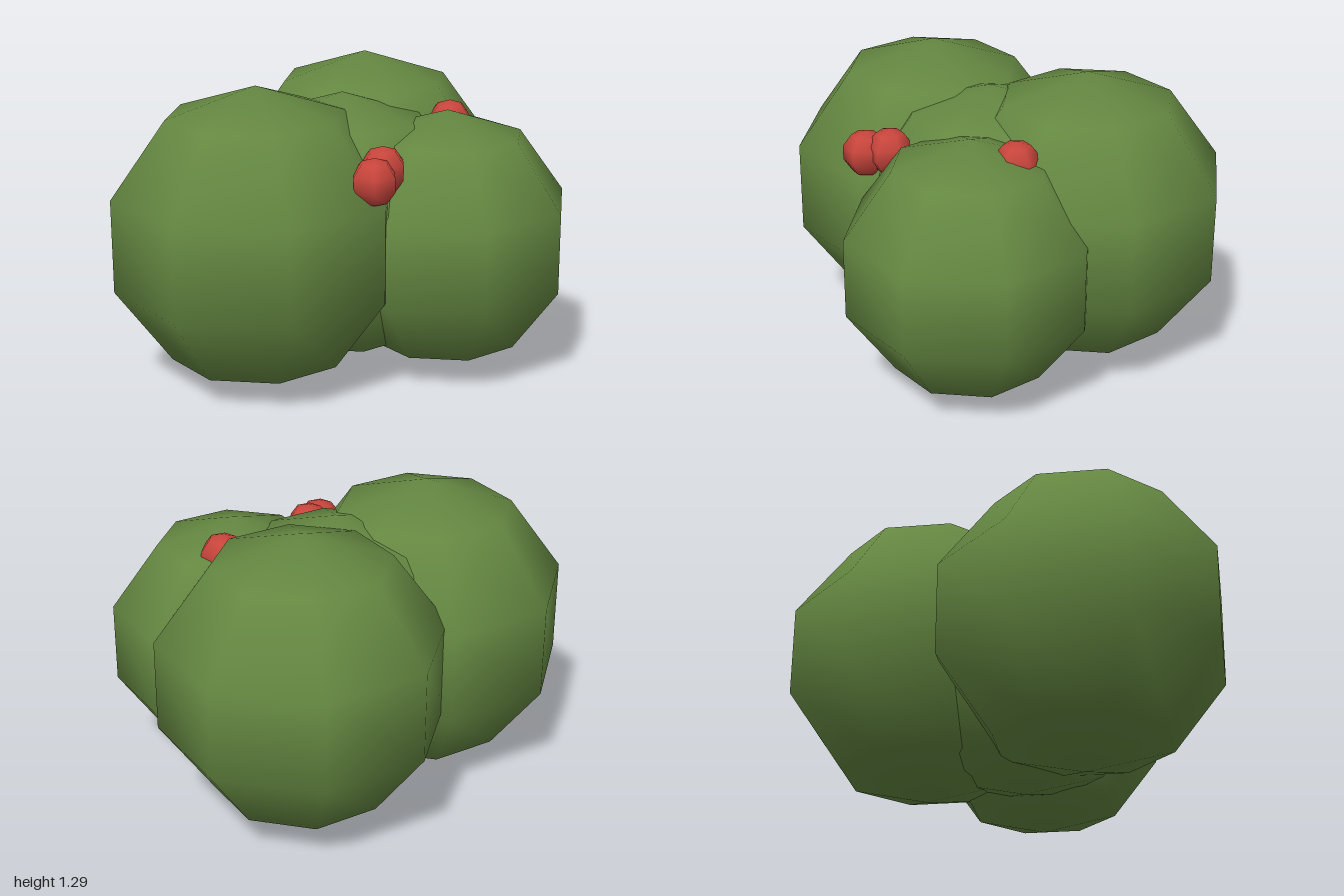
import * as THREE from 'three';

const leafGreen = new THREE.MeshStandardMaterial({ color: 0x648741 });
leafGreen.name = 'leafGreen';
const berryRed = new THREE.MeshStandardMaterial({ color: 0xc8453c });
berryRed.name = 'berryRed';

// Low-poly ball with smooth normals
function ball(name, material, sides, radius, x, y, z) {
  const mesh = new THREE.Mesh(new THREE.SphereGeometry(radius, sides, 5), material);
  mesh.name = name;
  mesh.position.set(x, y, z);
  return mesh;
}

export function createModel() {
  const bush = new THREE.Group();
  bush.name = 'berryBush';

  // Foliage clumps: radius, x, y, z
  const clumps = {
    coreFoliage: [0.58, -0.08, 0.625, 0],
    frontFoliage: [0.64, -0.265, 0.645, 0.386],
    backFoliage: [0.626, -0.2, 0.673, -0.403],
    leftFoliage: [0.555, 0.343, 0.59, -0.153],
  };
  for (const [name, c] of Object.entries(clumps)) bush.add(ball(name, leafGreen, 8, ...c));

  // Berries nestled between the clumps
  const berries = [
    [0.29, 0.953, 0.382],
    [0.27, 0.975, 0.275],
    [0.268, 1.045, -0.323],
  ];
  berries.forEach((p, i) => bush.add(ball(`berry${i + 1}`, berryRed, 6, 0.1, ...p)));

  return bush;
}
